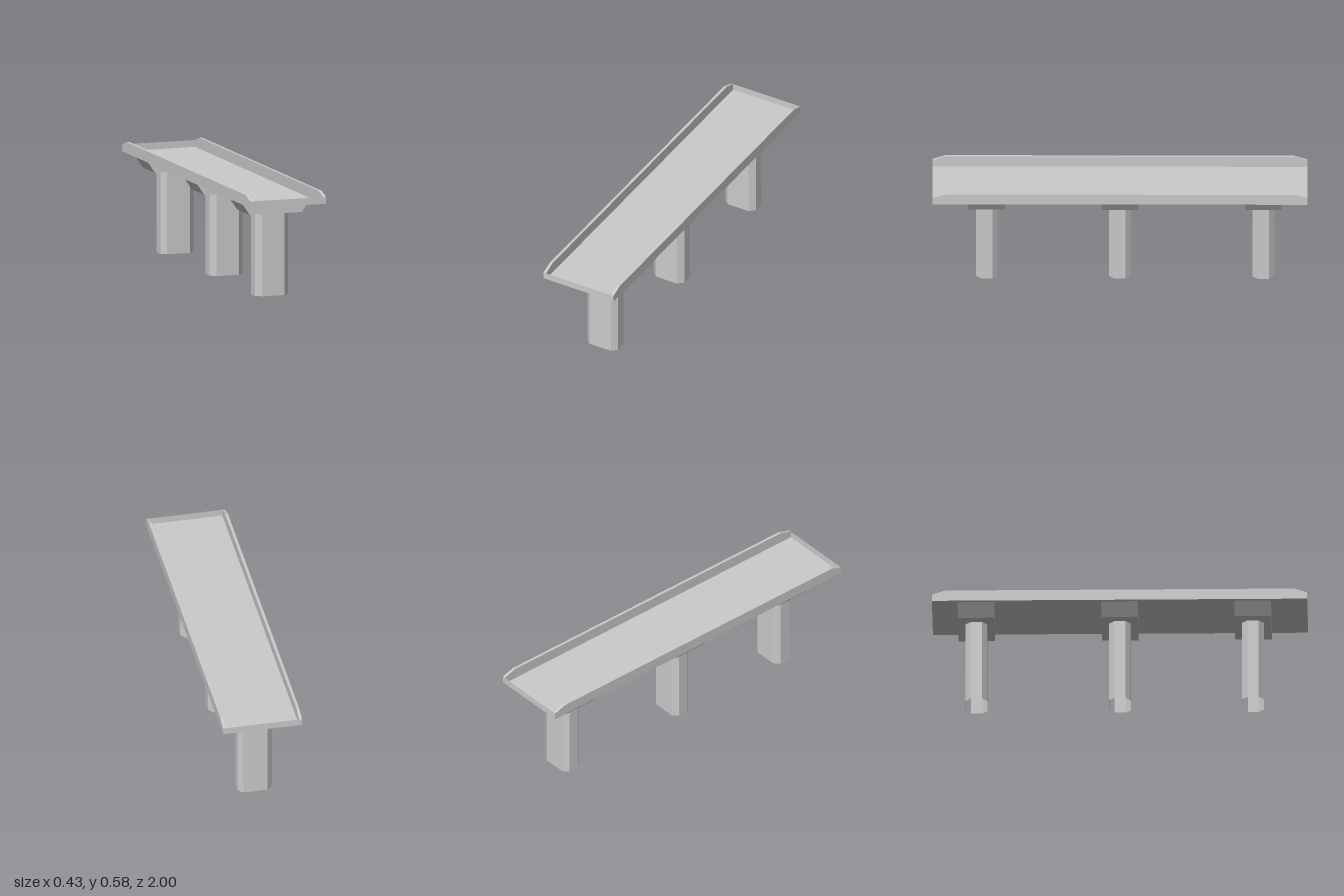
import * as THREE from 'three';

const W = 0.215, RAIL = 0.015, DECK_Y = 0.52, END_Y = 0.557, TOP_Y = 0.58, CAP_Y = 0.45;

const material = new THREE.MeshStandardMaterial({ color: 0xcccccc, flatShading: true, side: THREE.DoubleSide });

function addPart(parent, name, geometry, x = 0, y = 0, z = 0) {
  const mesh = new THREE.Mesh(geometry, material);
  mesh.name = name;
  mesh.position.set(x, y, z);
  parent.add(mesh);
  return mesh;
}

function extrude(points, depth) {
  const shape = new THREE.Shape(points.map(([x, y]) => new THREE.Vector2(x, y)));
  return new THREE.ExtrudeGeometry(shape, { depth, bevelEnabled: false });
}

// Hollow eight-sided column: a rectangle with chamfered corners
function columnGeometry() {
  const geometry = new THREE.CylinderGeometry(1, 1, CAP_Y, 8, 1, true);
  geometry.rotateY(Math.PI / 8);
  const p = geometry.attributes.position;
  for (let i = 0; i < p.count; i++) {
    const x = p.getX(i), z = p.getZ(i);
    p.setX(i, Math.sign(x) * (Math.abs(x) > 0.5 ? 0.094 : 0.065));
    p.setZ(i, Math.sign(z) * (Math.abs(z) > 0.5 ? 0.058 : 0.03));
  }
  geometry.computeVertexNormals();
  return geometry;
}

export function createModel() {
  const bridge = new THREE.Group();
  bridge.name = 'bridgeSection';

  // Thin road deck
  const deck = new THREE.PlaneGeometry(2 * W, 2).rotateX(-Math.PI / 2);
  addPart(bridge, 'deck', deck, 0, DECK_Y, 0);

  // Side parapets, sloping down at both ends
  const parapet = extrude([[-1, DECK_Y], [1, DECK_Y], [1, END_Y], [0.93, TOP_Y], [-0.93, TOP_Y], [-1, END_Y]], RAIL);
  parapet.rotateY(-Math.PI / 2);
  addPart(bridge, 'leftParapet', parapet, W);
  addPart(bridge, 'rightParapet', parapet, -W + RAIL);

  // Low thin walls closing the deck ends
  const endWall = new THREE.PlaneGeometry(2 * W, END_Y - DECK_Y);
  const endY = (DECK_Y + END_Y) / 2;
  addPart(bridge, 'frontEndWall', endWall, 0, endY, 1);
  addPart(bridge, 'backEndWall', endWall, 0, endY, -1).rotation.y = Math.PI;

  // Piers: column with a flared cap beam
  const column = columnGeometry();
  const cap = extrude([[-0.148, CAP_Y], [0.148, CAP_Y], [0.195, DECK_Y], [-0.195, DECK_Y]], 0.195);
  cap.translate(0, 0, -0.0975);
  for (const [name, z] of [['frontPier', 0.71], ['middlePier', 0], ['backPier', -0.765]]) {
    const pier = new THREE.Group();
    pier.name = name;
    pier.position.z = z;
    addPart(pier, 'column', column, 0, CAP_Y / 2, 0);
    addPart(pier, 'capBeam', cap);
    bridge.add(pier);
  }
  return bridge;
}
